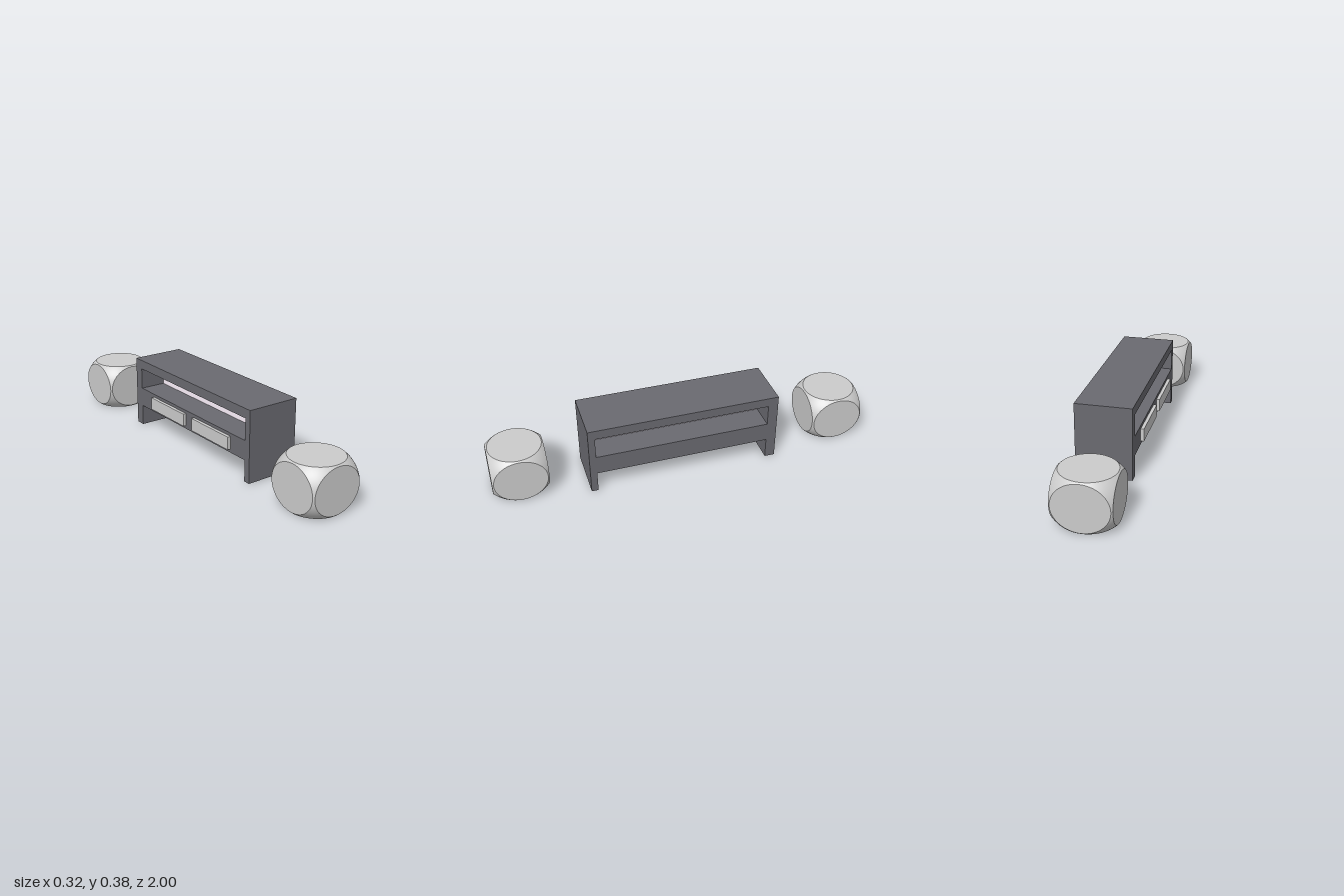
import * as THREE from 'three';

const grey = new THREE.MeshStandardMaterial({ color: 0xcccccc });
const dark = new THREE.MeshStandardMaterial({ color: 0x6a6a70 });
const pale = new THREE.MeshStandardMaterial({ color: 0xfff4ff });

// Box given by its min and max on each axis
function slab(name, [x0, x1], [y0, y1], [z0, z1], material) {
  const mesh = new THREE.Mesh(new THREE.BoxGeometry(x1 - x0, y1 - y0, z1 - z0), material);
  mesh.name = name;
  mesh.position.set((x0 + x1) / 2, (y0 + y1) / 2, (z0 + z1) / 2);
  return mesh;
}

// Rotations that take a +z facing patch to each of the six cube faces
const H = Math.PI / 2;
const faceTurns = [[0, 0], [0, H], [0, 2 * H], [0, -H], [H, 0], [-H, 0]];

const RIM = 0.95; // radius of the flat discs on a unit half-size cube
const SEG = 64, RINGS = 5;

// Spherical patch between a flat disc and the square border of its cube face
function cornerPatch() {
  const R = Math.hypot(RIM, 1);
  const pos = [], nor = [], idx = [];
  for (let i = 0; i <= SEG; i++) {
    const a = (i / SEG) * Math.PI * 2, c = Math.cos(a), s = Math.sin(a);
    const edge = 1 / Math.max(Math.abs(c), Math.abs(s));
    for (let j = 0; j <= RINGS; j++) {
      const r = RIM + (edge - RIM) * (j / RINGS);
      const n = new THREE.Vector3(r * c, r * s, 1).normalize();
      nor.push(n.x, n.y, n.z);
      pos.push(n.x * R, n.y * R, n.z * R);
      if (i < SEG && j < RINGS) {
        const p = i * (RINGS + 1) + j, q = p + RINGS + 1;
        idx.push(p, p + 1, q + 1, p, q + 1, q);
      }
    }
  }
  const g = new THREE.BufferGeometry();
  g.setAttribute('position', new THREE.Float32BufferAttribute(pos, 3));
  g.setAttribute('normal', new THREE.Float32BufferAttribute(nor, 3));
  g.setIndex(idx);
  return g;
}

// Stool: a ball with six flat cuts, slightly squashed in height
function createStool(name, z) {
  const stool = new THREE.Group();
  stool.name = name;
  const patch = cornerPatch();
  const disc = new THREE.CircleGeometry(RIM, SEG).translate(0, 0, 1);
  for (const [rx, ry] of faceTurns) {
    for (const [part, geometry] of [['roundedCorner', patch], ['flatFace', disc]]) {
      const mesh = new THREE.Mesh(geometry, grey);
      mesh.name = part;
      mesh.rotation.set(rx, ry, 0);
      stool.add(mesh);
    }
  }
  stool.scale.set(0.1425, 0.125, 0.1425);
  stool.position.set(-0.0185, 0.125, z);
  return stool;
}

// Low cabinet with an open shelf above a drawer block
function createCabinet() {
  const cabinet = new THREE.Group();
  cabinet.name = 'cabinet';
  const X = [-0.125, 0.16], inner = [-0.43, 0.482];
  cabinet.add(
    slab('topBoard', X, [0.327, 0.376], [-0.483, 0.517], dark),
    slab('thickSidePanel', X, [0, 0.327], [-0.483, -0.43], dark),
    slab('thinSidePanel', X, [0, 0.327], [0.482, 0.517], dark),
    slab('drawerBlock', X, [0.112, 0.214], inner, dark),
    slab('shelfDivider', [0.015, 0.02], [0.214, 0.327], inner, pale),
  );
  for (const z of [-0.31, 0.066]) {
    cabinet.add(slab('drawerFront', [-0.142, -0.125], [0.13, 0.197], [z, z + 0.305], grey));
  }
  return cabinet;
}

export function createModel() {
  const model = new THREE.Group();
  model.name = 'cabinetWithStools';
  model.add(createCabinet(), createStool('frontStool', 0.8575), createStool('backStool', -0.8575));
  return model;
}
